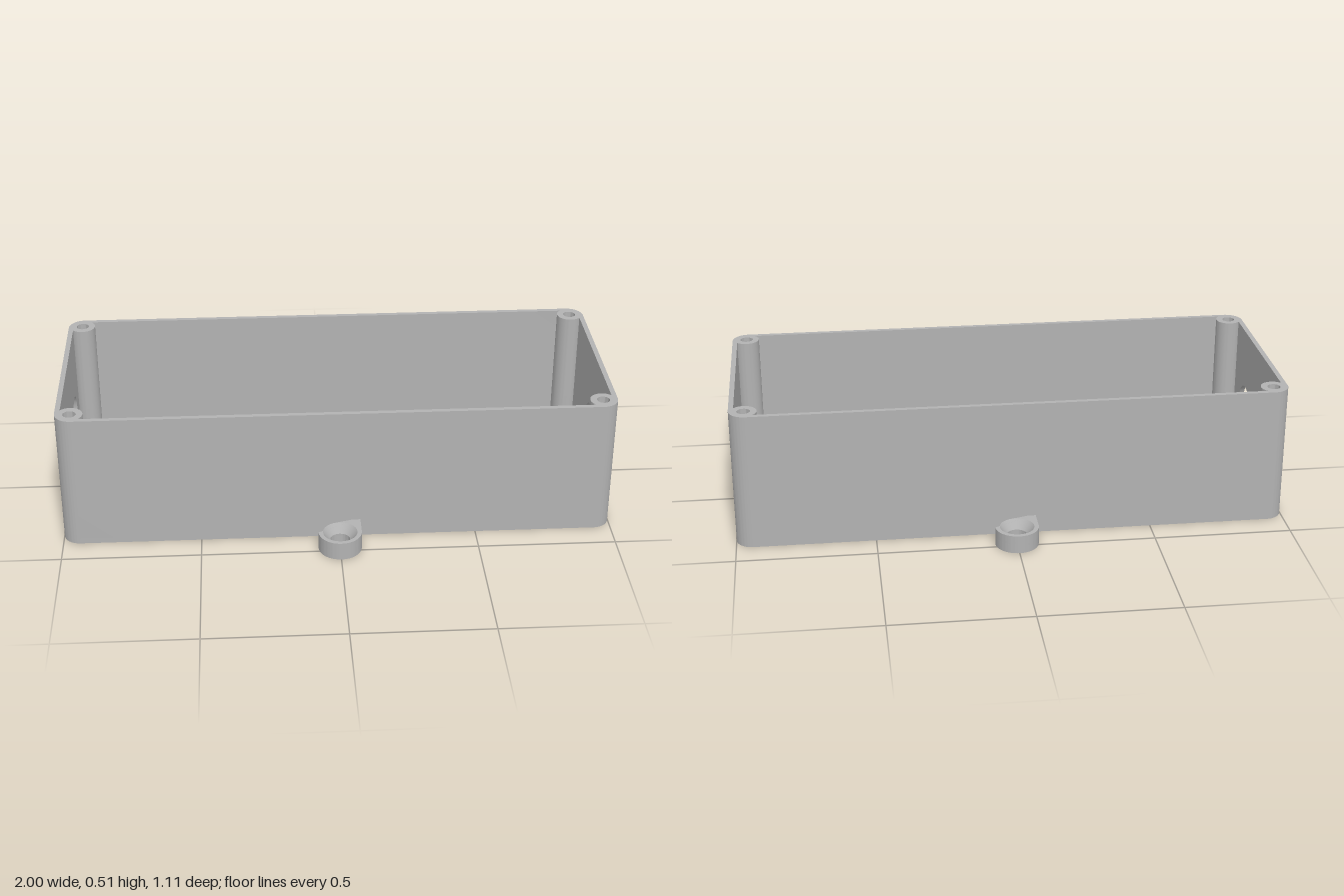
import * as THREE from 'three';
import { toCreasedNormals } from 'three/addons/utils/BufferGeometryUtils.js';

const HX = 1, HZ = 0.4, H = 0.507;      // half length, half depth, height
const WALL = 0.018, FLOOR = 0.02, R = 0.06;

function circlePath(x, y, r) {
  return new THREE.Path().absarc(x, y, r, 0, Math.PI * 2, true);
}

function extrude(shape, depth) {
  const g = new THREE.ExtrudeGeometry(shape, { depth, bevelEnabled: false, curveSegments: 24 });
  return toCreasedNormals(g, 0.6);
}

// Extrudes a plan shape upward (shape y becomes -z)
function extrudeUp(shape, height, y = 0) {
  return extrude(shape, height).rotateX(-Math.PI / 2).translate(0, y, 0);
}

export function createModel() {
  const group = new THREE.Group();
  const grey = new THREE.MeshStandardMaterial({ color: 0xb2b2b2 });
  const add = (name, geometry, parent = group) => {
    const mesh = new THREE.Mesh(geometry, grey);
    mesh.name = name;
    parent.add(mesh);
    return mesh;
  };
  const cx = HX - R, cz = HZ - R, ri = R - WALL;

  // Floor plate with rounded corners
  const plan = new THREE.Shape();
  plan.absarc(cx, cz, R, 0, Math.PI / 2);
  plan.absarc(-cx, cz, R, Math.PI / 2, Math.PI);
  plan.absarc(-cx, -cz, R, Math.PI, Math.PI * 1.5);
  plan.absarc(cx, -cz, R, Math.PI * 1.5, Math.PI * 2);
  plan.closePath();
  add('floor', extrudeUp(plan, FLOOR));

  // Long walls, each wrapping round two corners
  const channel = new THREE.Shape();
  channel.absarc(cx, cz, R, 0, Math.PI / 2);
  channel.absarc(-cx, cz, R, Math.PI / 2, Math.PI);
  channel.absarc(-cx, cz, ri, Math.PI, Math.PI / 2, true);
  channel.absarc(cx, cz, ri, Math.PI / 2, 0, true);
  channel.closePath();
  const channelGeometry = extrudeUp(channel, H - FLOOR, FLOOR);
  add('backWall', channelGeometry);
  add('frontWall', channelGeometry).rotation.y = Math.PI;

  // End walls with round cable openings
  const endWall = (holes) => {
    const s = new THREE.Shape();
    s.moveTo(-cz, FLOOR).lineTo(cz, FLOOR).lineTo(cz, H).lineTo(-cz, H).closePath();
    holes.forEach((z) => s.holes.push(circlePath(z, 0.208, 0.083)));
    return extrude(s, WALL).translate(0, 0, HX - WALL);
  };
  add('leftEndWall', endWall([0])).rotation.y = Math.PI / 2;
  add('rightEndWall', endWall([-0.16, 0.16])).rotation.y = -Math.PI / 2;

  // Hollow screw posts in the corners
  const post = new THREE.Shape().absarc(0, 0, 0.047, 0, Math.PI * 2);
  post.holes.push(circlePath(0, 0, 0.023));
  const postGeometry = extrudeUp(post, H - FLOOR, FLOOR);
  for (const sx of [-1, 1]) {
    for (const sz of [-1, 1]) {
      add('screwPost', postGeometry).position.set(sx * 0.947, 0, sz * 0.347);
    }
  }

  // Mounting lugs with countersunk holes
  const lugHeight = 0.067, sinkBase = 0.035, holeR = 0.036, sinkR = 0.062, lugR = 0.078, lugZ = 0.479;
  const lugShape = (r) => {
    const s = new THREE.Shape();
    s.moveTo(lugR, -0.087);
    s.absarc(0, 0, lugR, 0, Math.PI);
    s.lineTo(-lugR, -0.087);
    s.closePath();
    s.holes.push(circlePath(0, 0, r));
    return s;
  };
  const lower = extrudeUp(lugShape(holeR), sinkBase);
  const upper = extrudeUp(lugShape(sinkR), lugHeight - sinkBase, sinkBase);
  const sink = new THREE.LatheGeometry(
    [new THREE.Vector2(sinkR, lugHeight), new THREE.Vector2(holeR, sinkBase)], 48);
  for (const side of [-1, 1]) {
    const lug = new THREE.Group();
    lug.name = side > 0 ? 'frontLug' : 'backLug';
    add('lugBase', lower, lug);
    add('lugTop', upper, lug);
    add('countersink', sink, lug);
    lug.position.z = side * lugZ;
    if (side > 0) lug.rotation.y = Math.PI;
    group.add(lug);
  }
  return group;
}
